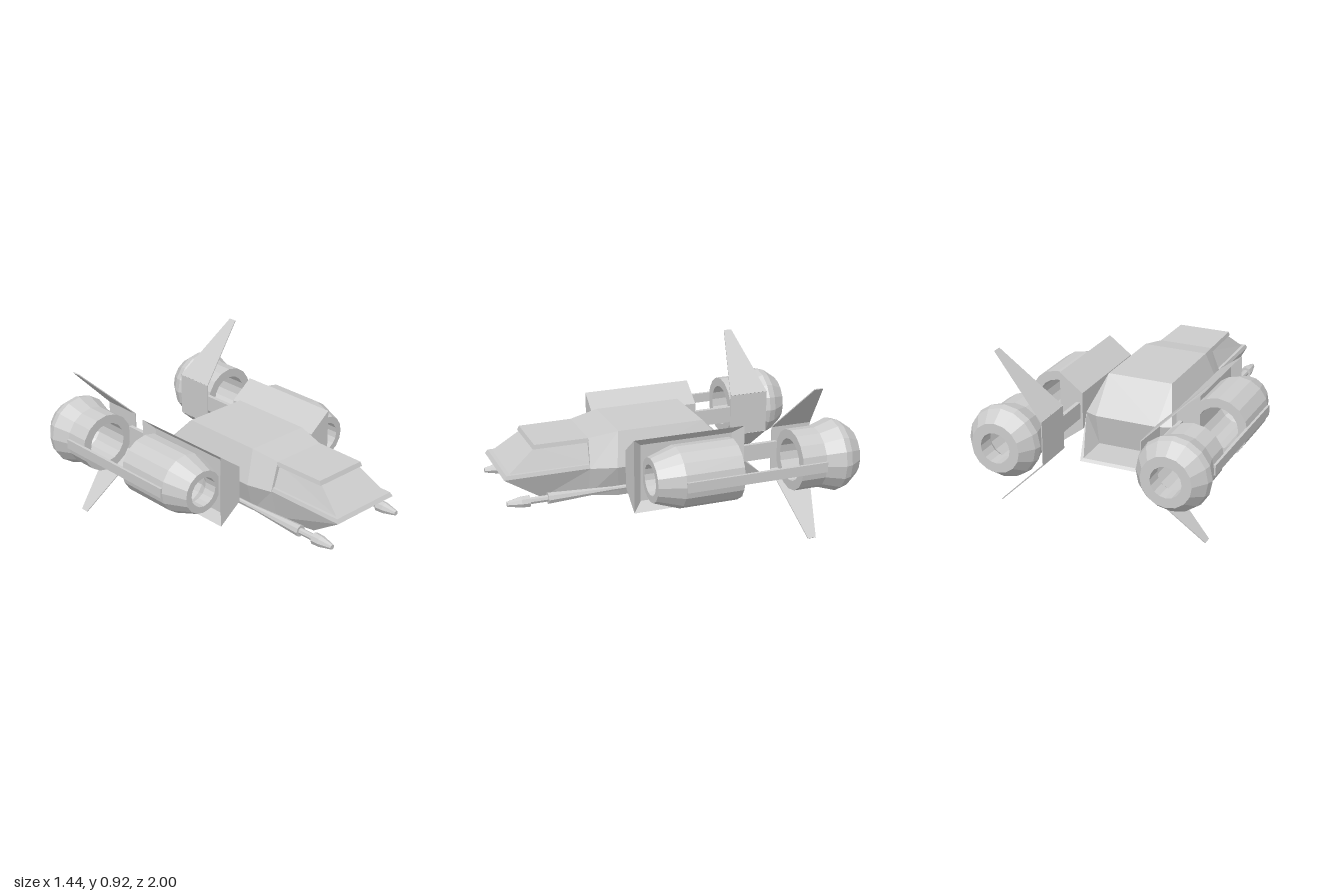
import * as THREE from 'three';

const material = new THREE.MeshStandardMaterial({
  color: 0xcccccc, flatShading: true, side: THREE.DoubleSide,
});
const MID = 0.465; // height of the widest line and of the engine axes

function addMesh(parent, name, geometry) {
  const mesh = new THREE.Mesh(geometry, material);
  mesh.name = name;
  parent.add(mesh);
  return mesh;
}

// Flat convex polygons, each a list of [x, y, z] corners
function polygons(faces) {
  const pos = [];
  for (const f of faces)
    for (let i = 1; i < f.length - 1; i++) pos.push(...f[0], ...f[i], ...f[i + 1]);
  const g = new THREE.BufferGeometry();
  g.setAttribute('position', new THREE.Float32BufferAttribute(pos, 3));
  g.computeVertexNormals();
  return g;
}

// Faces joining successive rings of corners
function loft(rings, closed = true) {
  const faces = [];
  for (let r = 0; r < rings.length - 1; r++) {
    const a = rings[r], b = rings[r + 1], n = a.length;
    for (let i = 0; i < (closed ? n : n - 1); i++) {
      const j = (i + 1) % n;
      faces.push([a[i], a[j], b[j], b[i]]);
    }
  }
  return faces;
}

const flip = ([x, y, z]) => [-x, y, z];
// Symmetric ring from the corners of its +x half
const mirrored = (half) => [...half, ...half.map(flip).reverse()];
// Level rectangle, wider or narrower at its front
const level = (y, zBack, xBack, zFront, xFront) =>
  [[xBack, y, zBack], [xFront, y, zFront], [-xFront, y, zFront], [-xBack, y, zBack]];

function box(x0, x1, y0, y1, z0, z1) {
  return new THREE.BoxGeometry(x1 - x0, y1 - y0, z1 - z0)
    .translate((x0 + x1) / 2, (y0 + y1) / 2, (z0 + z1) / 2);
}

// Turned part along z, profile given as [radius, z]
function turned(profile, sides, x, y) {
  const pts = profile.map(([r, z]) => new THREE.Vector2(r, z));
  return new THREE.LatheGeometry(pts, sides).rotateX(Math.PI / 2).translate(x, y, 0);
}

function buildFuselage(parent) {
  // Six-sided hull, each ring: top, middle, bottom
  const rear = mirrored([[0.2, 0.66, -0.2], [0.27, MID, -0.36], [0.2, 0.265, -0.59]]);
  const shoulder = mirrored([[0.2, 0.66, 0.32], [0.27, MID, 0.35], [0.2, 0.265, 0.32]]);
  const neck = mirrored([[0.17, 0.63, 0.49], [0.23, MID, 0.5], [0.183, 0.285, 0.5]]);
  addMesh(parent, 'hull', polygons([...loft([rear, shoulder, neck]), neck]));

  // Lower nose with a raised sill round the cabin
  const noseBack = mirrored([[0.225, MID, 0.49], [0.183, 0.285, 0.5]]);
  const noseFront = mirrored([[0.225, MID, 1], [0.165, 0.305, 0.77]]);
  addMesh(parent, 'nose', polygons([...loft([noseBack, noseFront]), noseFront]));
  const sill = level(0.487, 0.49, 0.218, 0.985, 0.218);
  addMesh(parent, 'sill', polygons([...loft([level(MID, 0.49, 0.225, 1, 0.225), sill]), sill]));

  // Inset cabin under an overhanging roof
  const cabinTop = level(0.61, 0.48, 0.152, 0.8, 0.152);
  addMesh(parent, 'cabinWindows',
    polygons([...loft([level(0.485, 0.48, 0.205, 0.965, 0.2), cabinTop]), cabinTop]));
  const roofLow = level(0.605, 0.48, 0.175, 0.815, 0.17);
  const roofTop = level(0.63, 0.48, 0.17, 0.805, 0.165);
  addMesh(parent, 'cabinRoof', polygons([...loft([roofLow, roofTop]), roofLow, roofTop]));

  // Sloping rear hatch above a recess with floor and side walls
  const top = [0.2, 0.66, -0.2], lip = [0.19, 0.47, -0.4], mid = [0.27, MID, -0.36];
  const low = [0.19, 0.28, -0.36], tail = [0.185, 0.28, -0.575], edge = [0.2, 0.265, -0.59];
  const half = [[top, lip, mid], [mid, lip, low], [mid, low, tail], [mid, tail, edge]];
  const across = (a, b) => [a, b, flip(b), flip(a)];
  addMesh(parent, 'rearHatch', polygons([
    ...half, ...half.map((f) => f.map(flip).reverse()),
    across(top, lip), across(lip, low), across(low, tail), across(tail, edge),
  ]));
}

function buildSide(parent) {
  const cx = 0.505;

  // Engine mount: wedge block with a recessed outer face
  const rect = (x, h, z0, z1) =>
    [[x, MID - h, z0], [x, MID - h, z1], [x, MID + h, z1], [x, MID + h, z0]];
  const inner = rect(0.295, 0.112, -0.36, 0.31);
  const floor = rect(0.39, 0.17, -0.3, 0.255);
  addMesh(parent, 'engineMount',
    polygons([inner, ...loft([inner, rect(0.438, 0.22, -0.36, 0.31), floor]), floor]));

  // Hollow engine pods
  addMesh(parent, 'frontEngine', turned([
    [0.125, -0.26], [0.18, -0.26], [0.18, 0.09], [0.13, 0.24],
    [0.09, 0.24], [0.09, 0.16], [0.125, 0.1], [0.125, -0.26],
  ], 16, cx, MID));
  addMesh(parent, 'rearEngine', turned([
    [0.09, -1], [0.147, -1], [0.205, -0.92], [0.215, -0.88], [0.18, -0.77],
    [0.18, -0.62], [0.125, -0.62], [0.125, -0.85], [0.09, -0.9], [0.09, -1],
  ], 16, cx, MID));

  // Struts joining the pods
  addMesh(parent, 'outerStrut', box(0.675, 0.693, 0.437, 0.497, -0.77, 0.09));
  addMesh(parent, 'innerStrut', box(0.31, 0.335, 0.417, 0.517, -0.62, -0.35));

  // Thin tail plate with diagonal fins above and below
  addMesh(parent, 'tailPlate', box(0.294, 0.3, 0.333, 0.597, -0.85, -0.6));
  for (const s of [1, -1]) {
    const outline = (d) => [
      [0.297 + d, MID + s * (0.132 - d), -0.6], [0.633 + d, MID + s * (0.46 - d), -0.695],
      [0.633 + d, MID + s * (0.46 - d), -0.745], [0.297 + d, MID + s * (0.132 - d), -0.85],
    ];
    const a = outline(-0.002), b = outline(0.002);
    addMesh(parent, s > 0 ? 'upperFin' : 'lowerFin', polygons([a, ...loft([a, b]), b]));
  }

  // Long side barrel
  addMesh(parent, 'barrel', turned([
    [0, -0.36], [0.012, -0.36], [0.014, 0.38], [0.034, 0.765], [0.02, 0.765], [0.02, 0.87],
    [0.035, 0.87], [0.033, 0.92], [0.015, 1], [0, 1],
  ], 8, 0.265, 0.34));
}

export function createModel() {
  const model = new THREE.Group();
  model.name = 'spacecraft';

  const fuselage = new THREE.Group();
  fuselage.name = 'fuselage';
  buildFuselage(fuselage);
  model.add(fuselage);

  for (const s of [1, -1]) {
    const side = new THREE.Group();
    side.name = s > 0 ? 'leftSide' : 'rightSide';
    buildSide(side);
    side.scale.x = s;
    model.add(side);
  }
  return model;
}
